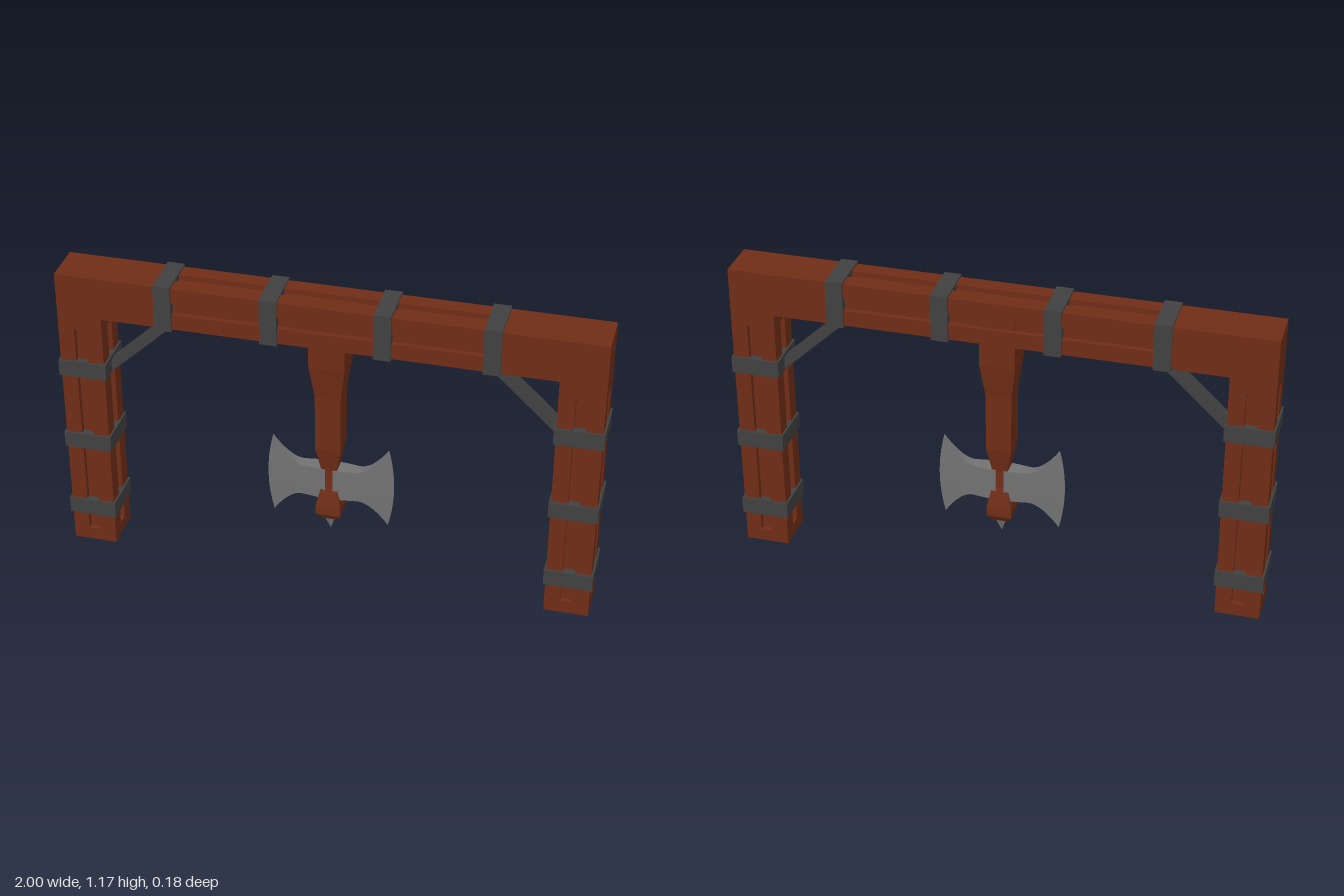
import * as THREE from 'three';
import { toCreasedNormals } from 'three/addons/utils/BufferGeometryUtils.js';

const wood = new THREE.MeshStandardMaterial({ color: 0x6f2d16 });
const iron = new THREE.MeshStandardMaterial({ color: 0x404040 });
const steel = new THREE.MeshStandardMaterial({ color: 0x727272 });

const HALF = 0.0825;   // half width of the timbers
const POST_X = 0.91;   // centre of each post
const BEAM_Y = 1.0775; // centre of the beam

function add(parent, name, geometry, material, x = 0, y = 0, z = 0) {
  const mesh = new THREE.Mesh(geometry, material);
  mesh.name = name;
  mesh.position.set(x, y, z);
  parent.add(mesh);
  return mesh;
}

// Square timber along +y from 0 to length, grooved on all four sides between a and b
function groovedTimber(name, length, a, b) {
  const timber = new THREE.Group();
  timber.name = name;
  const g = 0.0225, d = HALF - 0.02;
  const side = [[-HALF, -HALF], [-g, -HALF], [-g, -d], [g, -d], [g, -HALF]];
  const outline = [];
  const origin = new THREE.Vector2();
  for (let i = 0; i < 4; i++) {
    for (const [x, y] of side) outline.push(new THREE.Vector2(x, y).rotateAround(origin, i * Math.PI / 2));
  }
  const middle = new THREE.ExtrudeGeometry(new THREE.Shape(outline), { depth: b - a, bevelEnabled: false });
  middle.rotateX(-Math.PI / 2);
  add(timber, 'groovedMiddle', middle, wood, 0, a);
  add(timber, 'lowerEnd', new THREE.BoxGeometry(2 * HALF, a, 2 * HALF), wood, 0, a / 2);
  add(timber, 'upperEnd', new THREE.BoxGeometry(2 * HALF, length - b, 2 * HALF), wood, 0, (length + b) / 2);
  return timber;
}

// Closed skin over equal-sized rings of points (counter-clockwise seen from the last ring's end)
function loft(rings, crease) {
  const n = rings[0].length, index = [];
  for (let r = 0; r < rings.length - 1; r++) {
    for (let i = 0; i < n; i++) {
      const a = r * n + i, b = r * n + (i + 1) % n;
      index.push(a, b, b + n, a, b + n, a + n);
    }
  }
  // End caps, as strips joining opposite points
  const last = (rings.length - 1) * n;
  for (let i = 1; i < n / 2; i++) {
    const [p, q, s, t] = [i - 1, i, n - i - 1, n - i];
    index.push(p, s, q, p, t, s);
    index.push(last + p, last + q, last + s, last + p, last + s, last + t);
  }
  const geometry = new THREE.BufferGeometry();
  geometry.setAttribute('position', new THREE.Float32BufferAttribute(rings.flat(2), 3));
  geometry.setIndex(index);
  return toCreasedNormals(geometry, crease);
}

// Square handle from [y, half width] stations, bottom to top
function squareLoft(stations) {
  return loft(stations.map(([y, w]) => [[-w, y, w], [w, y, w], [w, y, -w], [-w, y, -w]]), 0.1);
}

// Flaring blade, thick at the handle and thin at its bowed cutting edge
function bladeGeometry() {
  const rings = [], steps = 14, rows = 10, middle = 0.38;
  for (let s = 0; s <= steps; s++) {
    const u = s / steps;
    const flare = Math.max(0, (u - 0.45) / 0.55);
    const halfHeight = 0.064 + 0.104 * Math.pow(flare, 1.7);
    const halfDepth = 0.032 * (1 - Math.pow(u, 1.4)) + 0.001;
    const front = [], back = [];
    for (let r = 0; r <= rows; r++) {
      const v = 2 * r / rows - 1;
      const x = 0.015 + 0.203 * u + 0.021 * u * u * (1 - v * v);
      const y = middle + v * halfHeight;
      front.unshift([x, y, halfDepth]);
      back.push([x, y, -halfDepth]);
    }
    rings.push([...back, ...front]);
  }
  return loft(rings, 0.6);
}

export function createModel() {
  const model = new THREE.Group();
  model.name = 'axeTrapGate';

  // Posts, their iron bands and the diagonal braces
  for (const side of [-1, 1]) {
    const prefix = side > 0 ? 'left' : 'right';
    const post = groovedTimber(prefix + 'Post', 1.16, 0.05, 0.94);
    post.position.x = side * POST_X;
    model.add(post);
    for (const y of [0.155, 0.458, 0.773]) {
      add(model, prefix + 'PostBand', new THREE.BoxGeometry(0.18, 0.065, 0.181), iron, side * POST_X, y);
    }
    const dx = 0.25, dy = 0.235;
    const brace = add(model, prefix + 'Brace', new THREE.BoxGeometry(Math.hypot(dx, dy), 0.034, 0.05),
      iron, side * 0.704, 0.876);
    brace.rotation.z = -side * Math.atan2(dy, dx);
  }

  // Cross beam between the posts
  const span = 2 * (POST_X - HALF);
  const beam = groovedTimber('crossBeam', span, span / 2 - 0.6, span / 2 + 0.6);
  beam.rotation.z = -Math.PI / 2;
  beam.position.set(-span / 2, BEAM_Y, 0);
  model.add(beam);
  for (const x of [-0.592, -0.205, 0.205, 0.592]) {
    add(model, 'beamBand', new THREE.BoxGeometry(0.063, 0.179, 0.181), iron, x, BEAM_Y);
  }

  // Hanging axe
  const axe = new THREE.Group();
  axe.name = 'axe';
  axe.position.z = -0.003;
  model.add(axe);
  add(axe, 'handle', squareLoft([
    [0.222, 0.028], [0.25, 0.047], [0.285, 0.047], [0.37, 0.029], [0.44, 0.029],
    [0.54, 0.047], [0.77, 0.048], [0.9, 0.066], [1.1, 0.066],
  ]), wood);
  const spike = new THREE.ConeGeometry(0.03, 0.066, 4).toNonIndexed();
  spike.computeVertexNormals();
  spike.rotateX(Math.PI).rotateY(Math.PI / 4);
  add(axe, 'spike', spike, steel, 0, 0.194);
  for (const side of [0, 1]) {
    const blade = add(axe, side ? 'rightBlade' : 'leftBlade', bladeGeometry(), steel);
    blade.rotation.y = side * Math.PI;
  }
  return model;
}
